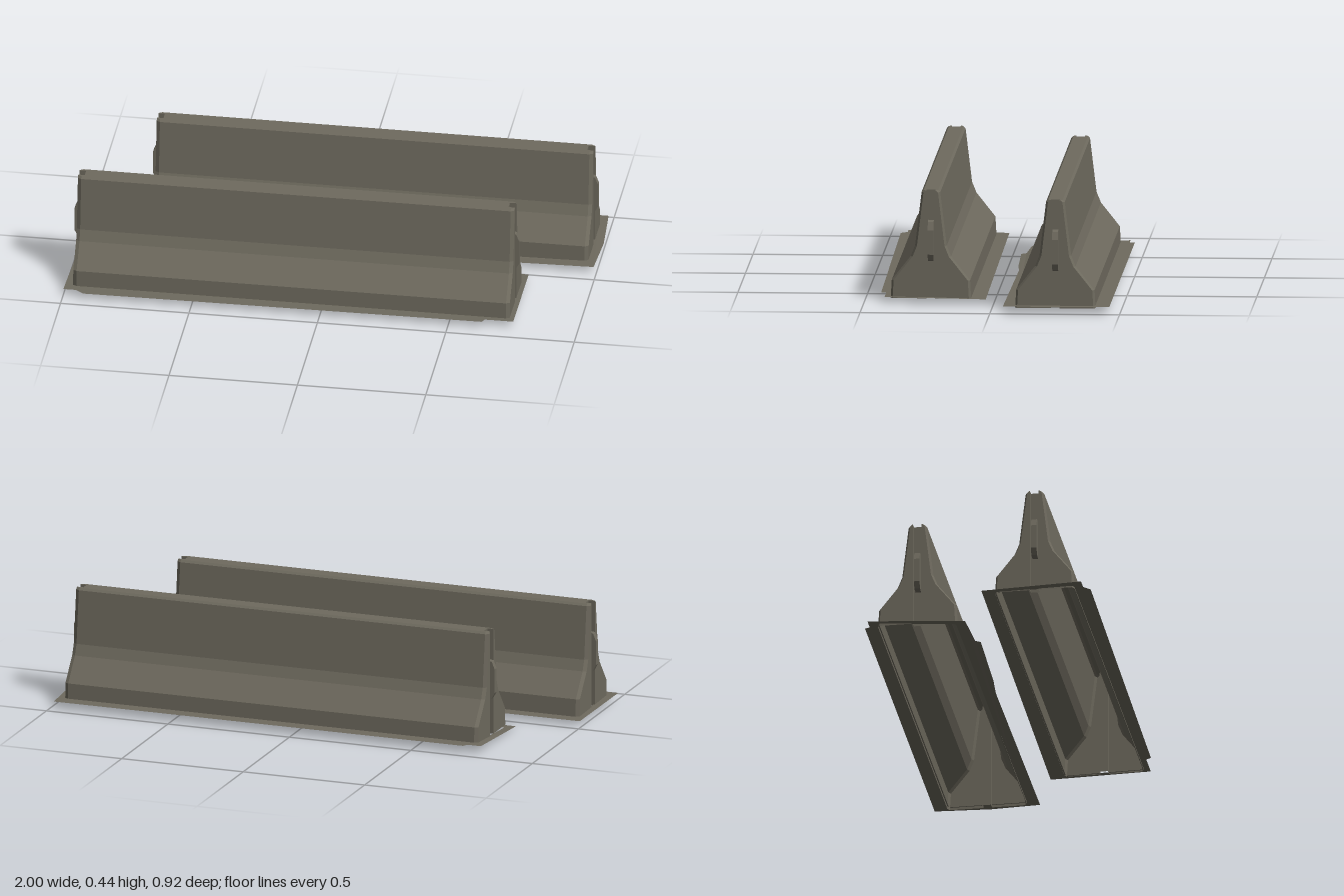
import * as THREE from 'three';
import { mergeGeometries } from 'three/addons/utils/BufferGeometryUtils.js';

const concrete = new THREE.MeshStandardMaterial({ color: 0x6e6a5e, side: THREE.DoubleSide, flatShading: true });
concrete.name = 'weathered concrete';

const HALF = 0.85;      // half length of a barrier
const GROOVE = 0.017;   // half width of the end groove
const DEPTH = 0.025;    // depth of the end groove
const BASE = 0.018, TOP = 0.438;
// outer half profile, [z, y], from the foot to the groove edge on top
const PROFILE = [[0.155, BASE], [0.151, 0.088], [0.078, 0.18], [0.061, 0.222], [0.036, 0.43], [0.028, TOP], [GROOVE, TOP]];
// the same profile drawn in slightly, for the bevelled ends
const END = PROFILE.map(([z, y], i) => [i < PROFILE.length - 1 ? z - 0.008 : z, y]);

// skin between cross-sections, each given as { x, pts }
function skin(sections) {
  const pos = [];
  for (let s = 0; s < sections.length - 1; s++) {
    const a = sections[s], b = sections[s + 1];
    for (let i = 0; i < a.pts.length - 1; i++) {
      const at = (sec, k) => [sec.x, sec.pts[k][1], sec.pts[k][0]];
      pos.push(...at(a, i), ...at(b, i), ...at(b, i + 1));
      pos.push(...at(a, i), ...at(b, i + 1), ...at(a, i + 1));
    }
  }
  const g = new THREE.BufferGeometry();
  g.setAttribute('position', new THREE.Float32BufferAttribute(pos, 3));
  g.computeVertexNormals();
  return g;
}

function mesh(name, geometry) {
  const m = new THREE.Mesh(geometry, concrete);
  m.name = name;
  return m;
}

const mirrorZ = pts => pts.map(([z, y]) => [-z, y]).reverse();

// flared side faces and the strip along the crown
function sideWalls() {
  const sections = shape => [
    { x: -HALF, pts: shape(END) }, { x: -HALF + 0.014, pts: shape(PROFILE) },
    { x: HALF - 0.014, pts: shape(PROFILE) }, { x: HALF, pts: shape(END) }];
  const crown = [[GROOVE, TOP], [-GROOVE, TOP]];
  return mergeGeometries([
    skin(sections(p => p)), skin(sections(mirrorZ)),
    skin([{ x: -HALF + DEPTH, pts: crown }, { x: HALF - DEPTH, pts: crown }])]);
}

// end face in two halves with a vertical groove between them
function endFace(dir) {
  const parts = [];
  for (const side of [1, -1]) {
    const pts = [...END, [GROOVE, BASE]].map(([z, y]) => new THREE.Vector2(z * side, y));
    parts.push(new THREE.ShapeGeometry(new THREE.Shape(pts))
      .rotateY(dir * Math.PI / 2).translate(dir * HALF, 0, 0));
    const wall = new THREE.PlaneGeometry(DEPTH, TOP - BASE);
    if (side > 0) wall.rotateY(Math.PI);
    parts.push(wall.translate(dir * (HALF - DEPTH / 2), (TOP + BASE) / 2, side * GROOVE));
  }
  parts.push(new THREE.PlaneGeometry(GROOVE * 2, TOP - BASE).rotateY(dir * Math.PI / 2)
    .translate(dir * (HALF - DEPTH), (TOP + BASE) / 2, 0));
  return mergeGeometries(parts);
}

// connecting lug set in the groove
function lug(dir) {
  const s = new THREE.Shape([[-DEPTH, 0.16], [0.003, 0.165], [0.016, 0.19], [0.016, 0.285], [0.004, 0.315], [-DEPTH, 0.32]]
    .map(([x, y]) => new THREE.Vector2(x, y)));
  const g = new THREE.ExtrudeGeometry(s, { depth: 0.022, bevelEnabled: false }).translate(HALF, 0, -0.011);
  return dir < 0 ? g.rotateY(Math.PI) : g;
}

// thin uneven ground skirt, open beneath the hollow barrier
function skirt(outline, cx, cz, height) {
  const s = new THREE.Shape(outline.map(([x, z]) => new THREE.Vector2(x, -z)));
  const hx = HALF - 0.005, hz = 0.15;
  s.holes.push(new THREE.Path([[-hx, -hz], [hx, -hz], [hx, hz], [-hx, hz]]
    .map(([x, z]) => new THREE.Vector2(cx + x, -(cz + z)))));
  const g = new THREE.ShapeGeometry(s).rotateX(-Math.PI / 2);
  const p = g.attributes.position;
  for (let i = 0; i < p.count; i++) p.setY(i, height(p.getX(i), p.getZ(i)));
  g.computeVertexNormals();
  return g;
}

function barrier(name, cx, cz, outline, height) {
  const group = new THREE.Group();
  group.name = name;
  const body = new THREE.Group();
  body.name = 'body';
  body.position.set(cx, 0, cz);
  body.add(mesh('sideWalls', sideWalls()));
  for (const [dir, side] of [[1, 'left'], [-1, 'right']]) {
    body.add(mesh(side + 'EndFace', endFace(dir)), mesh(side + 'Lug', lug(dir)));
  }
  group.add(body, mesh('groundSkirt', skirt(outline, cx, cz, height)));
  return group;
}

export function createModel() {
  const model = new THREE.Group();
  model.name = 'roadBarriers';
  const clamp = v => THREE.MathUtils.clamp(v, 0, 1);

  model.add(barrier('frontBarrier', -0.118, 0.243,
    [[-0.99, 0.04], [0.75, 0.03], [0.75, 0.42], [0.64, 0.42], [0.63, 0.44], [-0.92, 0.455], [-0.95, 0.43], [-1, 0.43]],
    (x, z) => 0.018 + 0.016 * z));

  // the rear skirt sags along its inner edge
  model.add(barrier('rearBarrier', 0.112, -0.25,
    [[-0.765, -0.44], [-0.71, -0.44], [-0.7, -0.46], [0.985, -0.46], [1, -0.24], [0.99, -0.05], [0.5, -0.05],
      [-0.08, -0.05], [-0.2, -0.04], [-0.57, -0.03], [-0.58, -0.05], [-0.765, -0.06]],
    (x, z) => 0.028 * (1 - clamp((z + 0.4) / 0.37) * clamp((0.99 - x) / 1.5))));
  return model;
}
